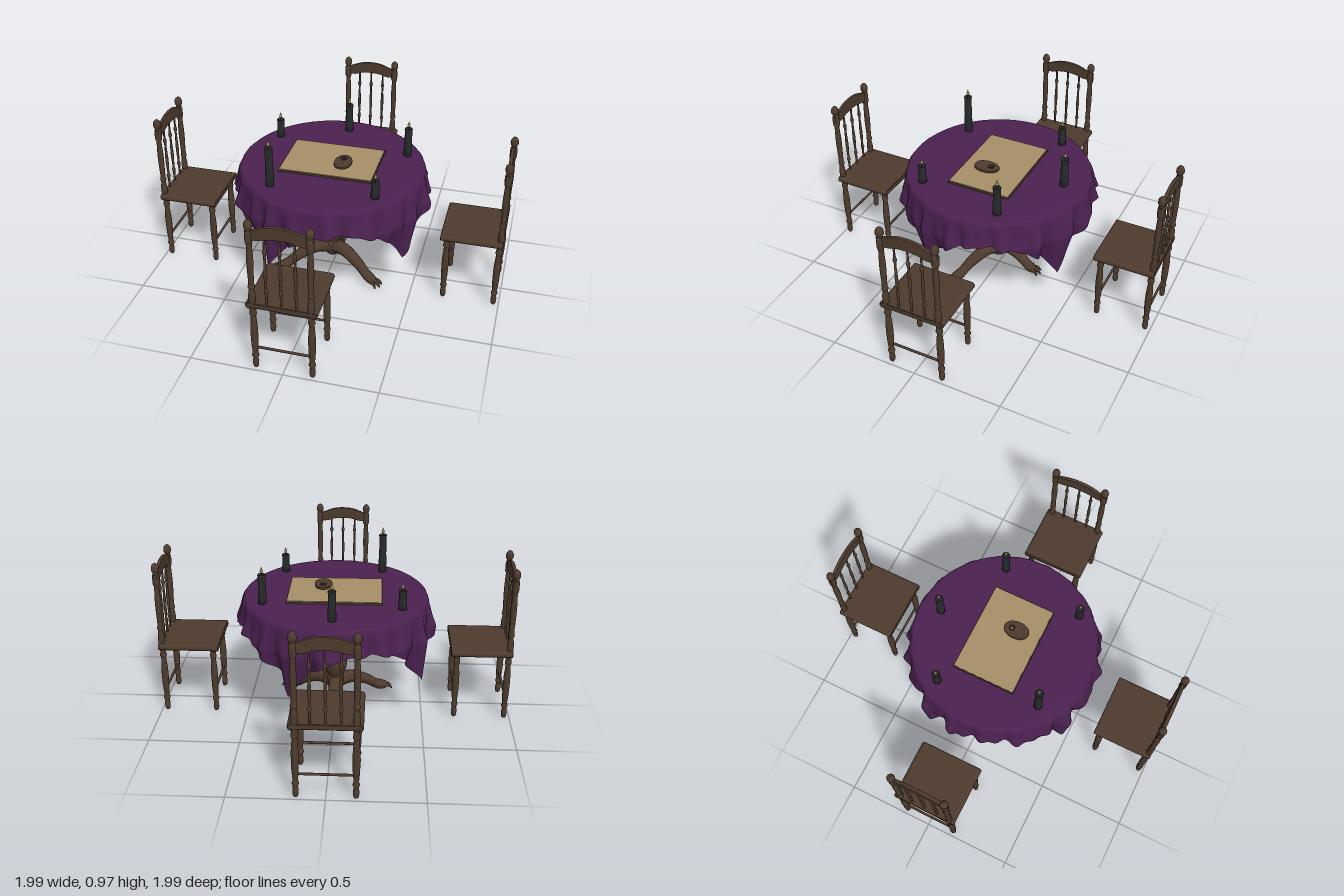
import * as THREE from 'three';
import { mergeVertices } from 'three/addons/utils/BufferGeometryUtils.js';

const material = (name, color) => {
  const m = new THREE.MeshStandardMaterial({ color });
  m.name = name;
  return m;
};

export function createModel() {
  const wood = material('dark wood', 0x4d3b2d);
  const clothMat = material('purple cloth', 0x4b2150);
  clothMat.side = THREE.DoubleSide;
  const wax = material('black wax', 0x272a2b);
  const parchment = material('parchment', 0xa68f68);
  const flameMat = material('flame', 0xa08a58);

  const model = new THREE.Group();
  model.name = 'diningSet';

  const add = (parent, name, geometry, mat, x = 0, y = 0, z = 0) => {
    const mesh = new THREE.Mesh(geometry, mat);
    mesh.name = name;
    mesh.position.set(x, y, z);
    parent.add(mesh);
    return mesh;
  };
  // Turned profile: [radius, height] pairs smoothed by a spline
  const turned = (pairs, sides = 16, steps = 40) => new THREE.LatheGeometry(
    new THREE.SplineCurve(pairs.map(([r, y]) => new THREE.Vector2(r, y))).getPoints(steps)
      .map(p => p.set(Math.max(p.x, 0), p.y)), sides);
  // Tube whose radius follows a rule along the path
  const taperedTube = (points, radiusAt, segments = 20, sides = 12) => {
    const curve = new THREE.CatmullRomCurve3(points.map(p => new THREE.Vector3(...p)));
    const g = new THREE.TubeGeometry(curve, segments, 1, sides);
    const pos = g.attributes.position, v = new THREE.Vector3();
    for (let i = 0; i < pos.count; i++) {
      const t = Math.floor(i / (sides + 1)) / segments, c = curve.getPointAt(t);
      v.fromBufferAttribute(pos, i).sub(c).multiplyScalar(radiusAt(t)).add(c);
      pos.setXYZ(i, v.x, v.y, v.z);
    }
    g.computeVertexNormals();
    return g;
  };

  // ---- Chairs: built with the back at +z, then turned around the table ----
  const legProfile = [[0, 0], [0.012, 0.001], [0.016, 0.03], [0.013, 0.06], [0.019, 0.075],
    [0.014, 0.095], [0.018, 0.15], [0.019, 0.25], [0.014, 0.33], [0.019, 0.345], [0.016, 0.365], [0.017, 0.4]];
  const legGeo = turned(legProfile);
  const postGeo = turned([[0.017, 0.41], [0.018, 0.46], [0.013, 0.5], [0.018, 0.515], [0.014, 0.54],
    [0.017, 0.66], [0.014, 0.76], [0.019, 0.78], [0.019, 0.83], [0.014, 0.843], [0.022, 0.865],
    [0.017, 0.89], [0, 0.905]], 16, 60);
  const spindleGeo = turned([[0.006, 0.41], [0.007, 0.48], [0.011, 0.5], [0.006, 0.52], [0.009, 0.6],
    [0.006, 0.7], [0.011, 0.73], [0.006, 0.75], [0.006, 0.83]], 10);
  const stretcherGeo = new THREE.CylinderGeometry(0.007, 0.007, 0.3, 10).rotateZ(Math.PI / 2);

  const seatShape = new THREE.Shape();
  seatShape.moveTo(-0.165, -0.01).lineTo(0.165, -0.01);
  seatShape.absarc(0.165, 0, 0.015, -Math.PI / 2, Math.PI / 2);
  seatShape.lineTo(-0.165, 0.015);
  seatShape.absarc(-0.165, 0, 0.015, Math.PI / 2, Math.PI * 1.5);
  const seatGeo = new THREE.ExtrudeGeometry(seatShape,
    { depth: 0.326, bevelEnabled: true, bevelSize: 0.004, bevelThickness: 0.007, bevelSegments: 2, curveSegments: 6 });

  const railShape = new THREE.Shape();
  railShape.moveTo(-0.165, 0.8);
  railShape.quadraticCurveTo(-0.1, 0.79, -0.08, 0.805);
  railShape.quadraticCurveTo(0, 0.825, 0.08, 0.805);
  railShape.quadraticCurveTo(0.1, 0.79, 0.165, 0.8);
  railShape.lineTo(0.165, 0.835);
  railShape.bezierCurveTo(0.1, 0.845, 0.09, 0.875, 0, 0.875);
  railShape.bezierCurveTo(-0.09, 0.875, -0.1, 0.845, -0.165, 0.835);
  const railGeo = new THREE.ExtrudeGeometry(railShape,
    { depth: 0.012, bevelEnabled: true, bevelSize: 0.004, bevelThickness: 0.004, bevelSegments: 2, curveSegments: 12 });

  for (let k = 0; k < 4; k++) {
    const chair = new THREE.Group();
    chair.name = 'chair';
    chair.rotation.y = k * Math.PI / 2;
    model.add(chair);
    add(chair, 'seat', seatGeo, wood, 0, 0.405, 0.657);
    add(chair, 'topRail', railGeo, wood, 0, 0, 0.967);
    for (const x of [-0.15, 0.15]) {
      add(chair, 'frontLeg', legGeo, wood, x, 0, 0.685);
      add(chair, 'backLeg', legGeo, wood, x, 0, 0.97);
      add(chair, 'backPost', postGeo, wood, x, 0, 0.974);
    }
    for (const x of [-0.075, 0, 0.075]) add(chair, 'spindle', spindleGeo, wood, x, 0, 0.975);
    for (const z of [0.685, 0.97]) add(chair, 'stretcher', stretcherGeo, wood, 0, 0.13, z);
  }

  // ---- Table: top, turned column and three clawed feet ----
  const table = new THREE.Group();
  table.name = 'table';
  model.add(table);
  add(table, 'tableTop', new THREE.CylinderGeometry(0.51, 0.51, 0.03, 64), wood, 0, 0.665, 0);
  add(table, 'column', turned([[0, 0.07], [0.03, 0.075], [0.05, 0.11], [0.05, 0.15], [0.044, 0.175],
    [0.06, 0.21], [0.066, 0.26], [0.055, 0.32], [0.04, 0.36], [0.05, 0.38], [0.042, 0.41], [0.05, 0.48],
    [0.046, 0.54], [0.06, 0.58], [0.085, 0.62], [0.09, 0.652]], 32, 80), wood);
  for (const [x, z] of [[0.29, 0.16], [-0.29, 0.16], [0, -0.23]]) {
    const foot = new THREE.Group(), L = Math.hypot(x, z);
    foot.name = 'foot';
    foot.rotation.y = Math.atan2(-z, x);
    table.add(foot);
    add(foot, 'footArm', taperedTube([[0, 0.13, 0], [L * 0.3, 0.135, 0], [L * 0.6, 0.095, 0], [L * 0.85, 0.04, 0], [L, 0.024, 0]],
      t => 0.044 - 0.022 * t + 0.006 * Math.exp(-(((t - 0.9) / 0.1) ** 2))), wood);
    for (const side of [-1, 0, 1]) {
      const dx = side ? 0.032 : 0.042;
      add(foot, 'toe', taperedTube([[L - 0.03, 0.028, side * 0.01], [L + dx * 0.4, 0.026, side * 0.022],
        [L + dx, 0.006, side * 0.03]], t => 0.014 * Math.sqrt(1.02 - t) + 0.001, 10, 8), wood);
    }
  }

  // ---- Tablecloth: a square cloth draped over the round top ----
  const R = 0.515, flatRows = 4, rows = 30, columns = 288, half = 0.67, turn = THREE.MathUtils.degToRad(26);
  const cloth = new THREE.PlaneGeometry(1, 1, columns, rows);
  cloth.deleteAttribute('uv');
  cloth.deleteAttribute('normal');
  const cp = cloth.attributes.position;
  for (let i = 0; i < cp.count; i++) {
    const col = i % (columns + 1), row = Math.floor(i / (columns + 1));
    const a = -(col % columns) / columns * Math.PI * 2;
    let r = R * 0.97 * row / flatRows, y = 0.692;
    if (row > flatRows) {
      // Angle from the nearest side's middle gives the hanging length
      const q = Math.PI / 2;
      const fromMiddle = ((a - turn) % q + q) % q - q / 2;
      const corner = Math.abs(fromMiddle) / (q / 2);
      const length = half / Math.cos(fromMiddle) - 0.525;
      const t = (row - flatRows) / (rows - flatRows);
      const d = length * t;
      const fold = 0.6 * Math.sin(20 * a + 1.2 * Math.sin(3 * a)) + 0.4 * Math.sin(33 * a + 2 * Math.sin(2 * a));
      const deep = Math.cos(Math.min(1, (1 - corner) * 2.2) * Math.PI * 2) * Math.max(0, d - 0.1) * 0.12;
      const ease = 1 - Math.exp(-d / 0.012);
      r = R * 0.97 + 0.018 * ease + Math.min(d, 0.17) * 0.14 - Math.max(0, d - 0.17) * 0.22
        + fold * 0.022 * Math.min(1, d / 0.15) + deep;
      y = 0.692 - d + 0.008 * (1 - ease) * t;
    }
    cp.setXYZ(i, r * Math.cos(a), y, r * Math.sin(a));
  }
  const clothGeo = mergeVertices(cloth, 1e-5);
  clothGeo.computeVertexNormals();
  add(table, 'tablecloth', clothGeo, clothMat);

  // ---- Board with a parchment face, and an egg-shaped pointer on pegs ----
  add(model, 'board', new THREE.BoxGeometry(0.524, 0.011, 0.36), wood, 0, 0.6975, 0);
  add(model, 'boardFace', new THREE.BoxGeometry(0.514, 0.003, 0.35), parchment, 0, 0.704, 0);
  const egg = new THREE.Shape();
  egg.moveTo(0, -0.07);
  egg.bezierCurveTo(0.035, -0.07, 0.048, -0.03, 0.046, 0.005);
  egg.bezierCurveTo(0.042, 0.05, 0.02, 0.068, 0, 0.068);
  egg.bezierCurveTo(-0.02, 0.068, -0.042, 0.05, -0.046, 0.005);
  egg.bezierCurveTo(-0.048, -0.03, -0.035, -0.07, 0, -0.07);
  const hole = new THREE.Path();
  hole.absarc(0, 0.026, 0.012, 0, Math.PI * 2, true);
  egg.holes.push(hole);
  const pointer = new THREE.Group();
  pointer.name = 'pointer';
  pointer.position.set(0.07, 0.705, 0.04);
  model.add(pointer);
  add(pointer, 'pointerPlate', new THREE.ExtrudeGeometry(egg,
    { depth: 0.007, bevelEnabled: true, bevelSize: 0.003, bevelThickness: 0.003, bevelSegments: 2, curveSegments: 12 })
    .rotateX(-Math.PI / 2), wood, 0, 0.013, 0);
  add(pointer, 'pointerRing', new THREE.TorusGeometry(0.014, 0.004, 8, 24).rotateX(Math.PI / 2), wood, 0, 0.025, -0.026);
  for (const [x, z] of [[0.025, 0.035], [-0.025, 0.035], [0, -0.05]])
    add(pointer, 'peg', new THREE.CylinderGeometry(0.004, 0.004, 0.012, 8), wood, x, 0.006, z);

  // ---- Candles: x, z, height of the wax ----
  const flameGeo = turned([[0, 0], [0.007, 0.008], [0.0085, 0.014], [0.005, 0.026], [0, 0.04]], 12, 16);
  const wickGeo = new THREE.CylinderGeometry(0.002, 0.002, 0.014, 6);
  for (const [x, z, top] of [[-0.37, -0.22, 0.8], [0, -0.39, 0.86], [0.39, -0.18, 0.86], [0.31, 0.31, 0.795], [-0.26, 0.33, 0.92]]) {
    const candle = new THREE.Group(), h = top - 0.69;
    candle.name = 'candle';
    candle.position.set(x, 0.69, z);
    model.add(candle);
    const profile = [[0, 0], [0.023, 0], [0.023, h * 0.3], [0.021, h * 0.5], [0.021, h - 0.012],
      [0.023, h - 0.006], [0.021, h], [0.017, h], [0.012, h - 0.004], [0, h - 0.005]];
    add(candle, 'wax', new THREE.LatheGeometry(profile.map(p => new THREE.Vector2(...p)), 18), wax);
    add(candle, 'wick', wickGeo, wax, 0, h + 0.001, 0);
    add(candle, 'flame', flameGeo, flameMat, 0, h + 0.005, 0);
  }
  return model;
}
